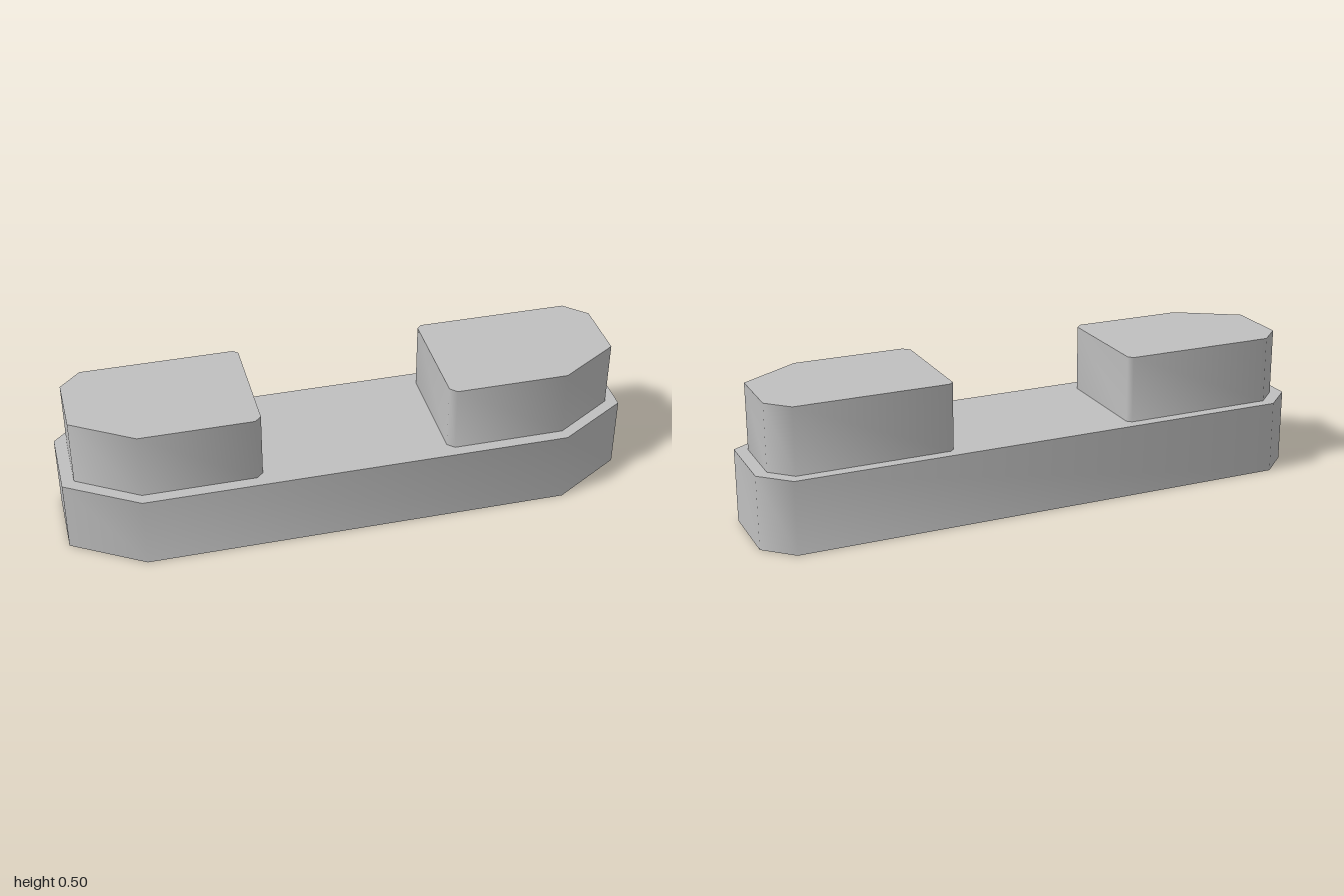
import * as THREE from 'three';
import { toCreasedNormals } from 'three/addons/utils/BufferGeometryUtils.js';

// Upright prism from an [x, z] outline; corners below the crease angle are shaded smooth
function prism(name, outline, bottom, top, creaseDegrees, material) {
  const shape = new THREE.Shape(outline.map(([x, z]) => new THREE.Vector2(x, -z)));
  const geometry = new THREE.ExtrudeGeometry(shape, { depth: top - bottom, bevelEnabled: false });
  geometry.rotateX(-Math.PI / 2);
  geometry.translate(0, bottom, 0);
  const mesh = new THREE.Mesh(toCreasedNormals(geometry, THREE.MathUtils.degToRad(creaseDegrees)), material);
  mesh.name = name;
  return mesh;
}

export function createModel() {
  const group = new THREE.Group();
  group.name = 'clampBlock';
  const grey = new THREE.MeshStandardMaterial({ color: 0xc0c0c0 });
  grey.name = 'grey';

  // Long base with wide front chamfers and small back chamfers
  const half = [[0.75, 0.255], [1, 0.102], [1, -0.16], [0.9, -0.255]];
  const mirrored = half.map(([x, z]) => [-x, z]).reverse();
  group.add(prism('base', [...half, ...mirrored], 0, 0.26, 50, grey));

  // Raised pad at each end, following the base outline
  const pad = [
    [0.35, 0.213], [0.745, 0.213], [0.957, 0.08], [0.957, -0.142],
    [0.882, -0.215], [0.343, -0.215], [0.327, -0.199], [0.327, 0.19],
  ];
  for (const [name, side] of [['leftPad', 1], ['rightPad', -1]]) {
    group.add(prism(name, pad.map(([x, z]) => [side * x, z]), 0.26, 0.497, 62, grey));
  }
  return group;
}
